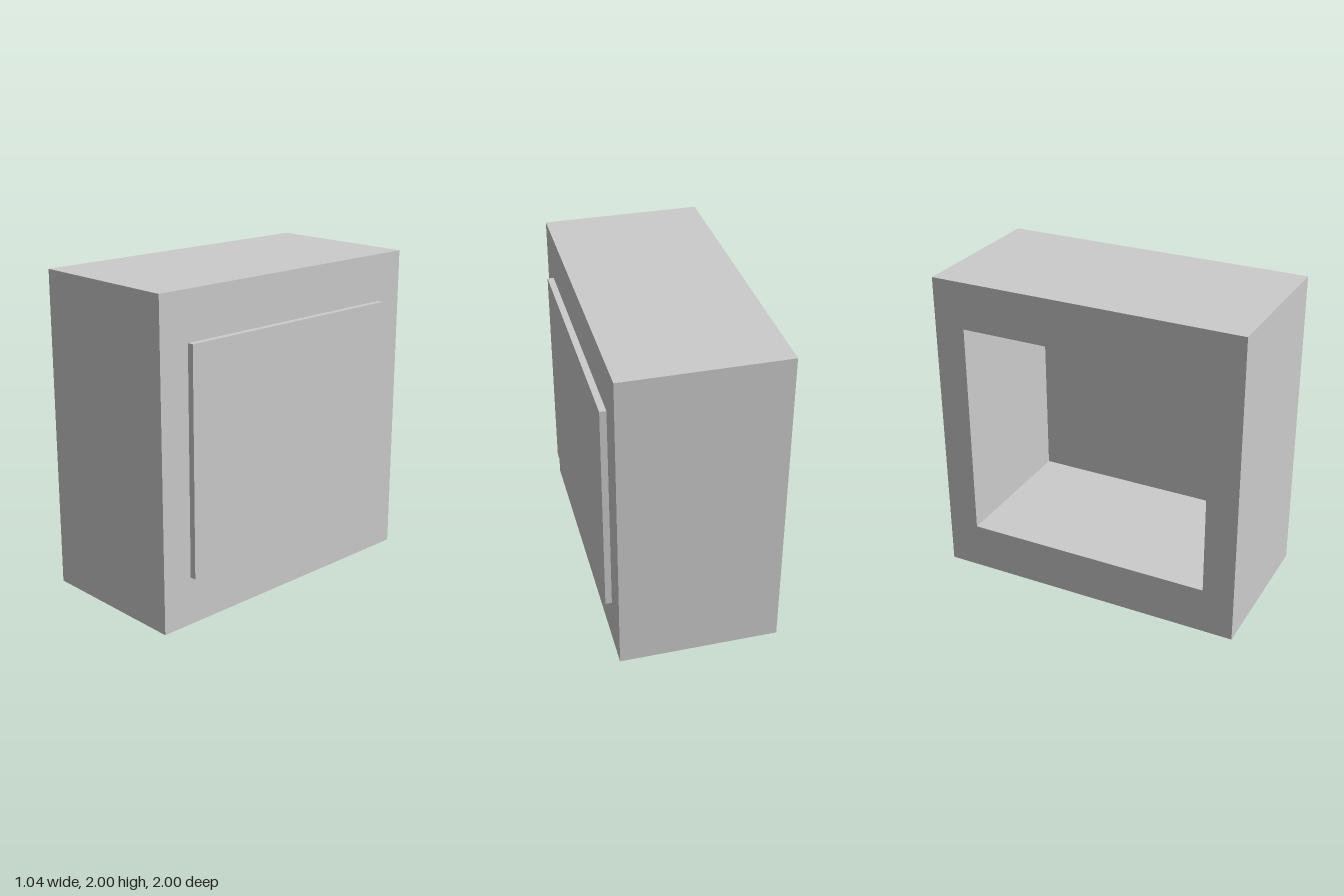
import * as THREE from 'three';

export function createModel() {
  const group = new THREE.Group();
  const material = new THREE.MeshStandardMaterial({ color: 0xcccccc, flatShading: true });

  // Thick square housing with a rectangular opening through it
  const outline = new THREE.Shape([
    new THREE.Vector2(-1, 0), new THREE.Vector2(1, 0),
    new THREE.Vector2(1, 2), new THREE.Vector2(-1, 2),
  ]);
  outline.holes.push(new THREE.Path([
    new THREE.Vector2(-0.8, 0.3), new THREE.Vector2(-0.8, 1.7),
    new THREE.Vector2(0.8, 1.7), new THREE.Vector2(0.8, 0.3),
  ]));
  const housing = new THREE.Mesh(
    new THREE.ExtrudeGeometry(outline, { depth: 1, bevelEnabled: false }), material);
  housing.name = 'housing';
  housing.rotation.y = Math.PI / 2; // extrude along +x
  housing.position.x = -0.52;
  group.add(housing);

  // Panel closing the opening, standing slightly proud of the housing
  const panel = new THREE.Mesh(new THREE.BoxGeometry(0.08, 1.4, 1.6), material);
  panel.name = 'panel';
  panel.position.set(0.48, 1, 0);
  group.add(panel);

  return group;
}
